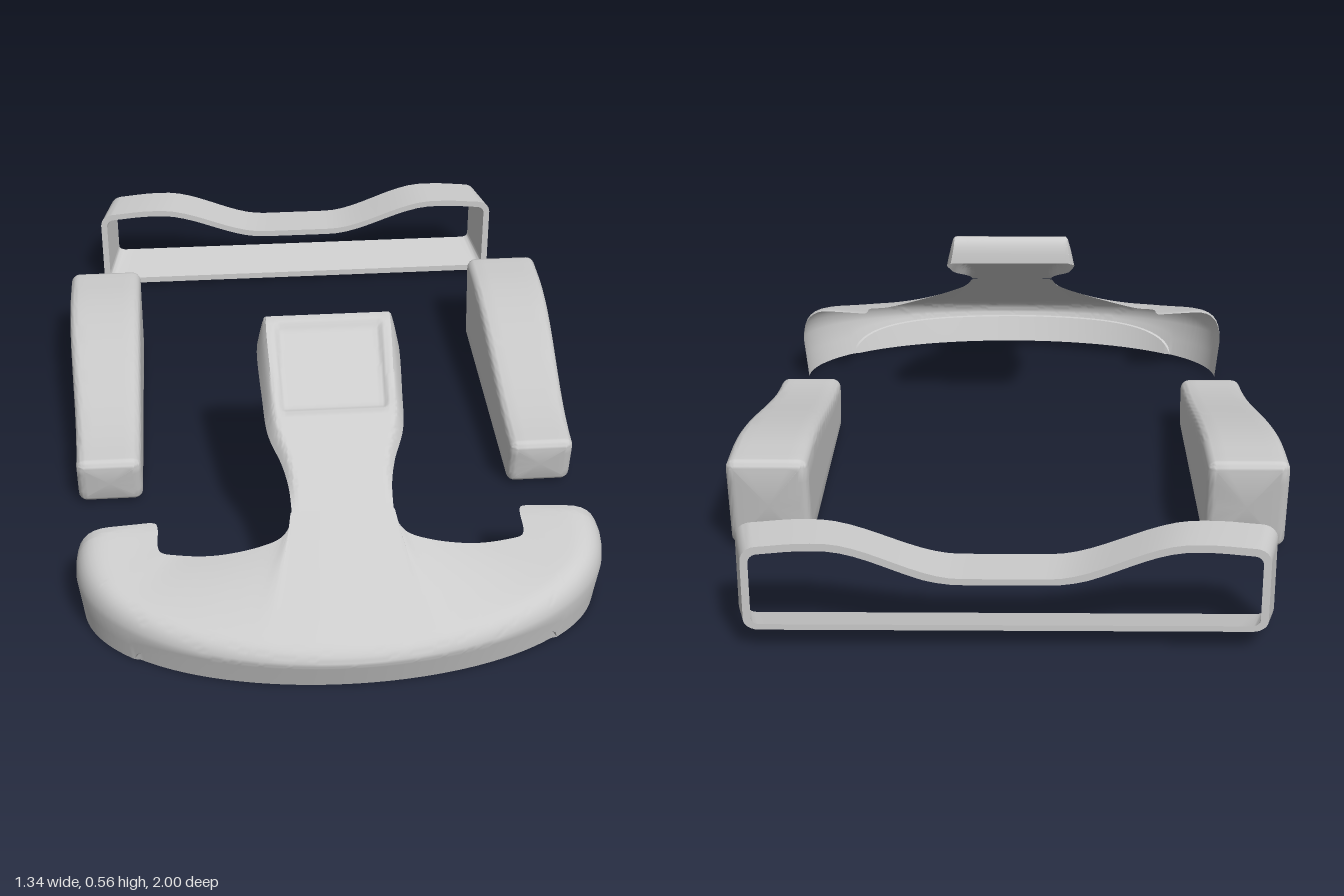
import * as THREE from 'three';
import { toCreasedNormals } from 'three/addons/utils/BufferGeometryUtils.js';

const { lerp, smoothstep, degToRad } = THREE.MathUtils;
const material = new THREE.MeshStandardMaterial({ color: 0xcccccc, side: THREE.DoubleSide });

// Surface through equal-length rows of [x, y, z] points
function sheet(rows, name, crease = 0.6) {
  const n = rows[0].length, index = [];
  for (let i = 0; i < rows.length - 1; i++) {
    for (let j = 0; j < n - 1; j++) {
      const a = i * n + j, b = a + n;
      index.push(a, a + 1, b, a + 1, b + 1, b);
    }
  }
  const geometry = new THREE.BufferGeometry();
  geometry.setAttribute('position', new THREE.Float32BufferAttribute(rows.flat(2), 3));
  geometry.setIndex(index);
  const mesh = new THREE.Mesh(toCreasedNormals(geometry, crease), material);
  mesh.name = name;
  return mesh;
}

// Closed counter-clockwise rounded rectangle, each straight edge cut into m pieces
function ring(x0, x1, y0, y1, r, m) {
  const corners = [[x1 - r, y0 + r], [x1 - r, y1 - r], [x0 + r, y1 - r], [x0 + r, y0 + r]];
  const arcs = corners.map(([cx, cy], k) => Array.from({ length: 7 }, (_, i) => {
    const a = (k - 1 + i / 6) * Math.PI / 2;
    return [cx + r * Math.cos(a), cy + r * Math.sin(a)];
  }));
  const points = [];
  arcs.forEach((arc, k) => {
    points.push(...arc);
    const p = arc[6], q = arcs[(k + 1) % 4][0];
    for (let i = 1; i < m; i++) points.push([lerp(p[0], q[0], i / m), lerp(p[1], q[1], i / m)]);
  });
  points.push(points[0]);
  return points;
}

// Curved nose shell: sections run from the rear edge over the top and down the front
function noseShell() {
  // rear edge x, y, z and the angle of the matching point on the front arc
  const half = [
    [0, .295, .70, 0], [.06, .295, .70, 8], [.118, .293, .697, 15], [.124, .277, .725, 19],
    [.145, .256, .742, 24], [.2, .234, .747, 31], [.3, .208, .737, 43], [.38, .196, .715, 55],
    [.423, .197, .702, 64], [.43, .2, .685, 70], [.43, .211, .63, 85], [.435, .213, .613, 90],
    [.45, .214, .61, 95],
  ];
  const keys = [...half.slice(1).reverse().map(([x, y, z, a]) => [-x, y, z, -a]), ...half];
  const edge = new THREE.CatmullRomCurve3(keys.map(k => new THREE.Vector3(k[0], k[1], k[2])), false, 'centripetal');
  const spans = keys.length - 1, rows = [];
  for (let i = 0; i <= spans * 8; i++) {
    const k = Math.min(Math.floor(i / 8), spans - 1);
    const angle = degToRad(lerp(keys[k][3], keys[k + 1][3], i / 8 - k));
    const q = edge.getPoint(i / (spans * 8));
    const px = .625 * Math.sin(angle), pz = .66 + .34 * Math.cos(angle);
    const f = Math.min(1, 1 - Math.cos(angle));
    const lip = lerp(.115, .218, f), wall = lerp(.085, .12, f), bend = lerp(.88, .55, f);
    const at = (s, y) => [lerp(q.x, px, s), y, lerp(q.z, pz, s)];
    const down = (y, extra = 0) => {
      const inset = lerp(.03, .012, f) * (1 - y / wall) + extra;
      return [px - Math.sin(angle) * inset, y, pz - Math.cos(angle) * inset];
    };
    const row = [], bendY = lerp(q.y, lip, bend);
    for (let s = 0; s < 6; s++) row.push(at(bend * s / 6, lerp(q.y, bendY, s / 6)));
    for (let s = 0; s <= 8; s++) {
      const t = s / 8, u = 1 - t;
      row.push(at(1 - (1 - bend) * u * u, u * u * bendY + 2 * u * t * lip + t * t * wall));
    }
    // recessed lower panel
    const seam = .075 * Math.sqrt(Math.max(0, 1 - Math.pow(Math.abs(px) / .51, 6)));
    const step = Math.min(.006, seam * .3);
    row.push(down((wall + seam) / 2), down(seam), down(Math.max(0, seam - .002), step));
    row.push(down(seam / 2, step), down(0, step));
    rows.push(row);
  }
  return sheet(rows, 'noseShell');
}

// Raised tongue with turned-down edges and a shallow recess
function tongue() {
  const widths = [[.235, .163], [.25, .172], [.3, .175], [.4, .17], [.5, .162], [.58, .134], [.64, .121], [.70, .118]];
  const curve = new THREE.SplineCurve(widths.map(([z, w]) => new THREE.Vector2(z, w)));
  const caps = [[.235, .49], [.237, .515], [.242, .537], [.25, .551], [.26, .558]];
  const stations = caps.map(([z, cap]) => ({ z, cap, w: lerp(.163, .173, smoothstep(z, .235, .26)) }));
  for (let i = 0; i <= 70; i++) {
    const p = curve.getPoint(lerp(.24, 1, i / 70));
    if (p.x > .264) stations.push({ z: p.x, cap: 1, w: p.y });
  }
  const rows = [];
  for (let i = 0; i <= 60; i++) {
    const f = i / 30 - 1;
    rows.push(stations.map(({ z, cap, w }) => {
      const x = f * w;
      const fold = .2 * Math.max(0, .70 - z) * Math.pow(Math.max(0, (Math.abs(f) - .86) / .14), 1.5);
      const recess = .014 * (1 - smoothstep(Math.abs(x), .117, .133))
        * smoothstep(z, .278, .296) * (1 - smoothstep(z, .465, .49));
      return [x, Math.min(.11 + (1 - z) * .616 - fold - recess, cap), z];
    }));
  }
  return sheet(rows, 'tongue', 0.8);
}

// Tapered solid side pod, rounded on all edges
function sidePod(side) {
  const r = .024, rows = [], stations = [];
  for (let i = 0; i <= 6; i++) {
    const a = i / 6 * Math.PI / 2;
    stations.push([r * (1 - Math.sin(a)), r * (1 - Math.cos(a))].reverse());
  }
  stations.forEach(s => { s[0] = r - Math.sqrt(Math.max(0, r * r - (r - s[1]) ** 2)); });
  const start = stations.map(([d, inset]) => [d, r - inset]);
  // distance from the end face and how far the section is drawn in
  const ends = start.map((_, i) => {
    const a = i / 6 * Math.PI / 2;
    return [r * (1 - Math.cos(a)) / .82, r * (1 - Math.sin(a))];
  });
  const middle = Array.from({ length: 31 }, (_, i) => [lerp(.035, .965, i / 30), 0]);
  const all = [...ends, ...middle, ...ends.map(([s, e]) => [1 - s, e]).reverse()];
  const section = (s, e, shrink) => {
    const z = lerp(-.55, .265, s);
    const back = 1 - smoothstep(z, -.45, .28);
    const top = .145 + .1 * back, outer = .64 + .032 * back;
    const points = ring(.475 + e, outer - e, .005 + e, top - e, Math.max(.002, r - e), 6);
    return points.map(([x, y]) => {
      if (shrink) { x = (.475 + outer) / 2; y = top / 2; }
      const h = y / top;
      return [x * side, y, lerp(-.55 + .04 * (1 - h), .24 + .03 * h, s)];
    });
  };
  rows.push(section(0, r, true));
  all.forEach(([s, e]) => rows.push(section(s, e, false)));
  rows.push(section(1, r, true));
  // mirrored copy needs its winding turned around
  if (side < 0) rows.reverse();
  return sheet(rows, side > 0 ? 'leftSidePod' : 'rightSidePod', 0.7);
}

// Thin rear frame with a wavy top bar and tapered depth
function rearFrame() {
  const t = .018, low = .01;
  const topAt = x => .175 + .083 * smoothstep(Math.abs(x), .1, .42) - .01 * smoothstep(Math.abs(x), .45, .6);
  const loop = (inset, r) => ring(-.597 + inset, .597 - inset, low + inset, .26 - inset, r, 36).map(([x, y]) => {
    const y0 = low + inset;
    return [x, y0 + (y - y0) * (topAt(x) - inset - y0) / (.26 - inset - y0)];
  });
  const front = ([x, y]) => [x, y, -.88];
  const back = ([x, y]) => [x * .953, y + .04 * Math.max(0, 1 - (y - low) / .16), -1];
  const outer = loop(0, .035), inner = loop(t, .02);
  const rows = outer.map((p, i) => [front(p), back(p), back(inner[i]), front(inner[i]), front(p)]);
  return sheet(rows, 'rearFrame');
}

export function createModel() {
  const group = new THREE.Group();
  group.name = 'bodyKit';
  group.add(noseShell(), tongue(), sidePod(1), sidePod(-1), rearFrame());
  return group;
}
